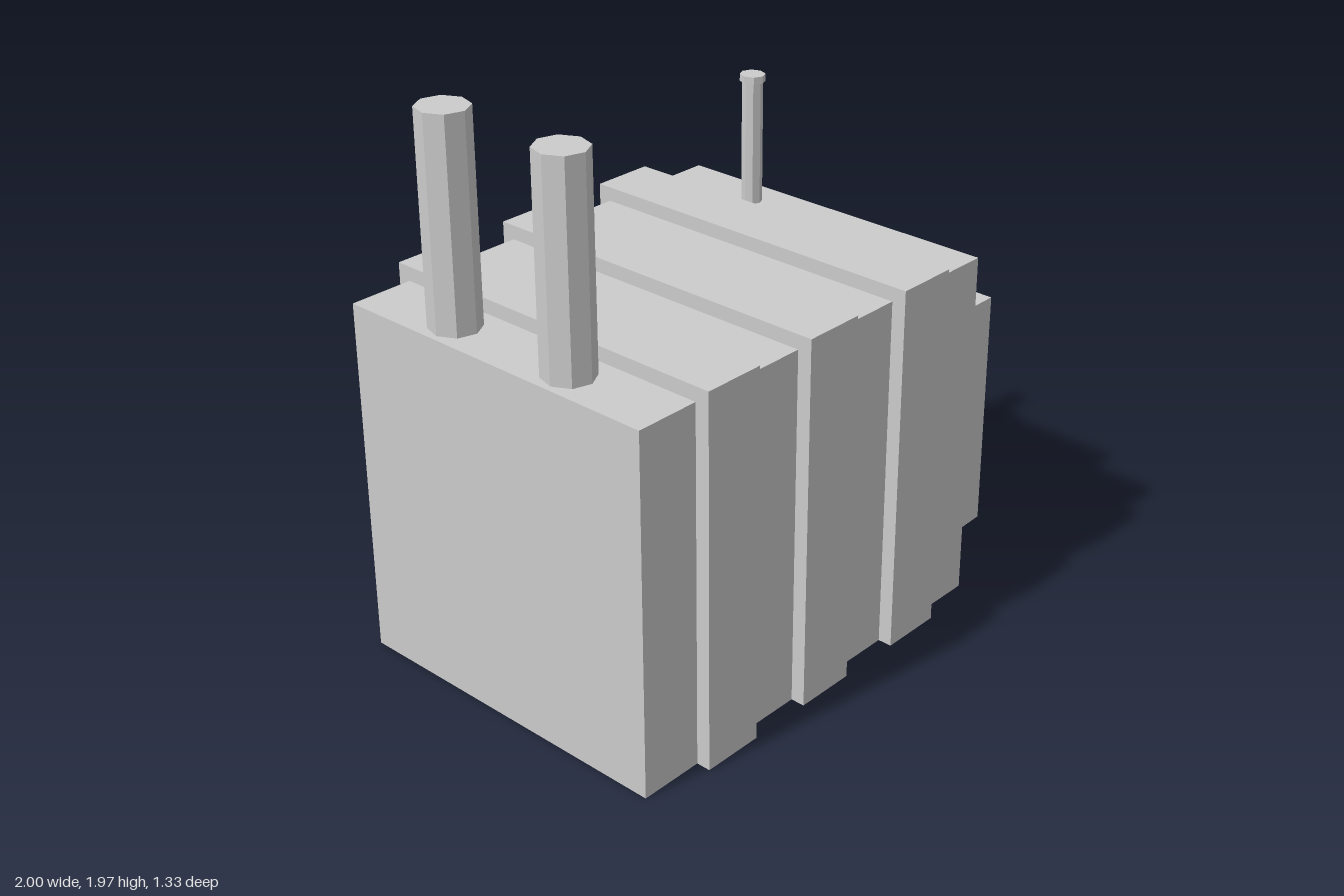
import * as THREE from 'three';

export function createModel() {
  const model = new THREE.Group();
  const material = new THREE.MeshStandardMaterial({ color: 0xcccccc, flatShading: true });

  function add(name, geometry) {
    const mesh = new THREE.Mesh(geometry, material);
    mesh.name = name;
    model.add(mesh);
    return mesh;
  }

  // Box given by its limits on each axis
  function box(name, x0, x1, y0, y1, z0, z1) {
    const g = new THREE.BoxGeometry(x1 - x0, y1 - y0, z1 - z0);
    g.translate((x0 + x1) / 2, (y0 + y1) / 2, (z0 + z1) / 2);
    return add(name, g);
  }

  // Eight-sided upright cylinder with separate x and z radii
  function pipe(name, x, z, rx, rz, y0, y1, turn = 0) {
    const g = new THREE.CylinderGeometry(1, 1, y1 - y0, 8);
    g.rotateY(turn);
    g.scale(rx, 1, rz);
    g.translate(x, (y0 + y1) / 2, z);
    return add(name, g);
  }

  // Main housing with raised bands wrapped over it
  box('housing', -1, 0.59, 0, 1.26, -0.62, 0.615);
  [[-0.77, -0.55], [-0.32, -0.1], [0.135, 0.36]].forEach(([x0, x1], i) =>
    box(`band${i + 1}`, x0, x1, 0, 1.31, -0.668, 0.665));

  // Side unit, its underside rising slightly outwards
  const side = box('sideUnit', 0.59, 1, 0, 0.91, -0.4, 0.4);
  const p = side.geometry.attributes.position;
  for (let i = 0; i < p.count; i++) {
    if (p.getY(i) < 0.1 && p.getX(i) > 0.9) p.setY(i, 0.015);
  }
  side.geometry.computeVertexNormals();
  box('rearPanel', 0.78, 1, 0.013, 0.49, -0.465, -0.4);

  // Capped fillers on the side unit
  pipe('largeFillerNeck', 0.783, -0.175, 0.14, 0.122, 0.91, 1.045);
  pipe('largeFillerCap', 0.783, -0.173, 0.15, 0.137, 1.045, 1.07);
  pipe('smallFillerNeck', 0.782, 0.167, 0.08, 0.074, 0.91, 1.045);
  pipe('smallFillerCap', 0.782, 0.168, 0.088, 0.088, 1.045, 1.07);

  // Tall exhaust stacks
  for (const z of [-0.26, 0.232]) {
    pipe('exhaustStack', -0.895, z, 0.085, 0.088, 1.26, 1.97, 0.1);
  }

  // Thin vent pipe with a wider cap
  pipe('ventPipe', 0.468, -0.259, 0.036, 0.036, 1.26, 1.695);
  pipe('ventCap', 0.468, -0.259, 0.042, 0.045, 1.695, 1.72);

  return model;
}
